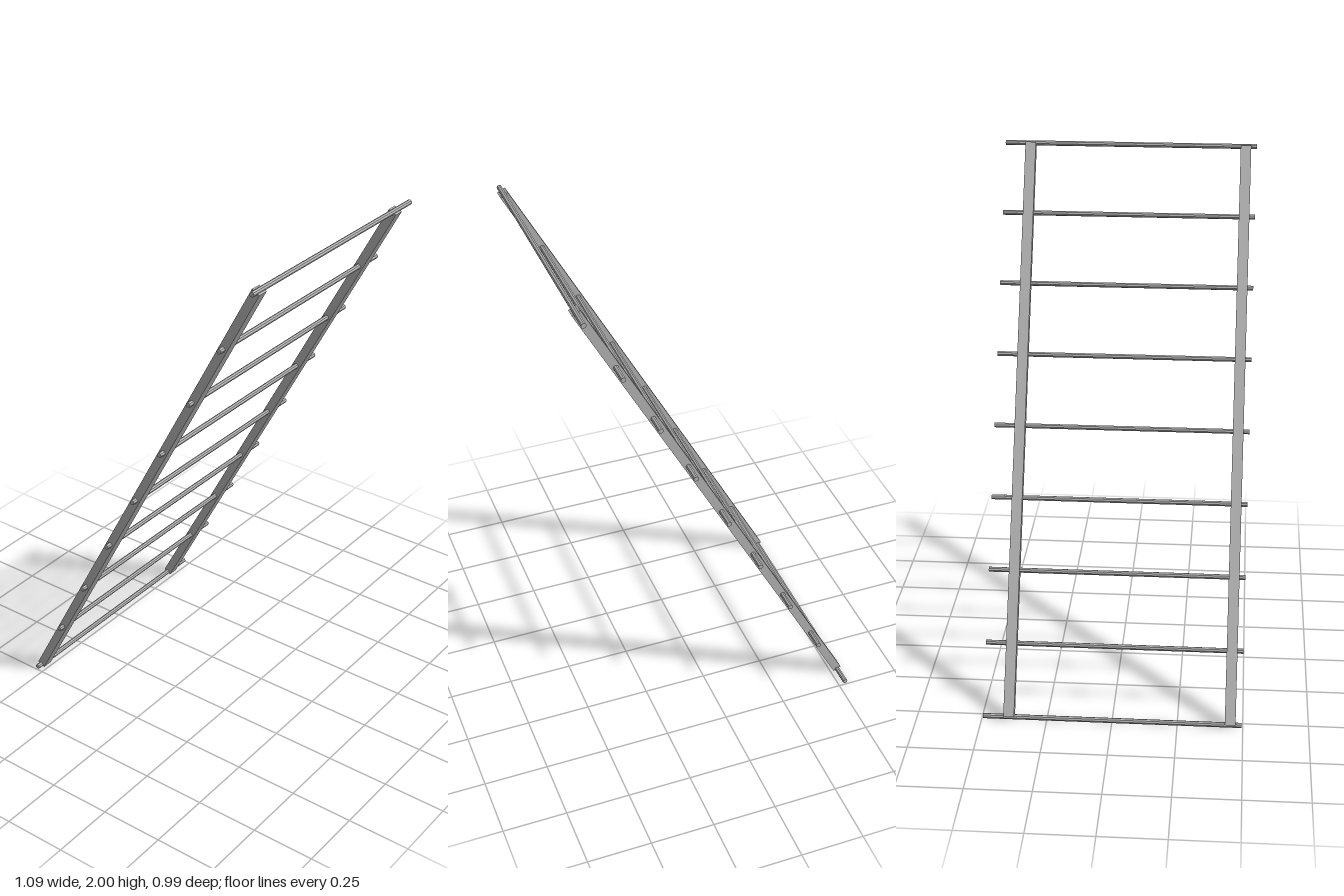
import * as THREE from 'three';

export function createModel() {
  const group = new THREE.Group();
  const grey = new THREE.MeshStandardMaterial({ color: 0xb4b4b4, flatShading: true });
  grey.name = 'grey metal';

  // Centre line of the leaning ladder, from bottom rung to top rung
  const bottom = new THREE.Vector2(-0.528, 0.01);
  const top = new THREE.Vector2(0.528, 1.99);
  const run = top.clone().sub(bottom);
  const lean = Math.atan2(run.x, run.y);

  // Two side rails, ending at the centres of the outer rungs
  const railGeometry = new THREE.BoxGeometry(0.034, run.length(), 0.041);
  for (const [name, z] of [['frontRail', 0.452], ['backRail', -0.395]]) {
    const rail = new THREE.Mesh(railGeometry, grey);
    rail.name = name;
    rail.position.set(0, 1, z);
    rail.rotation.z = -lean;
    group.add(rail);
  }

  // Nine evenly spaced rungs that stick out past both rails
  const rungCount = 9;
  const rungGeometry = new THREE.CylinderGeometry(0.01, 0.01, 0.99, 8).rotateX(Math.PI / 2);
  for (let i = 0; i < rungCount; i++) {
    const p = bottom.clone().lerp(top, i / (rungCount - 1));
    const rung = new THREE.Mesh(rungGeometry, grey);
    rung.name = `rung${i + 1}`;
    rung.position.set(p.x, p.y, 0);
    group.add(rung);
  }
  return group;
}
